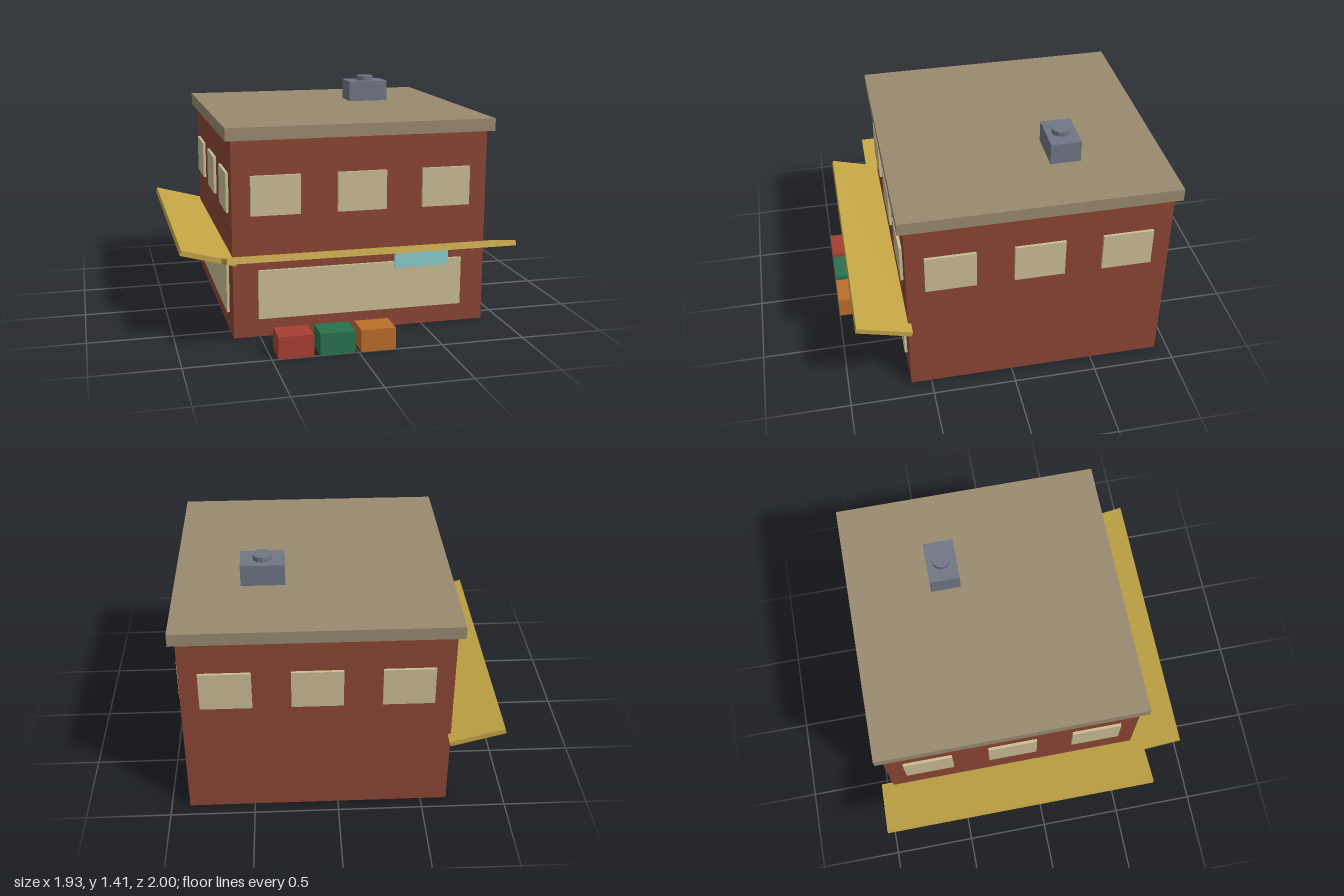
import * as THREE from 'three';

const mat = (name, color) => {
  const m = new THREE.MeshStandardMaterial({ color });
  m.name = name;
  return m;
};

export function createModel() {
  const brick = mat('brick red', 0x8b4533);
  const stone = mat('roof taupe', 0x998a6f);
  const glass = mat('window cream', 0xcabd94);
  const canvas = mat('awning yellow', 0xc4a545);
  const metal = mat('vent grey', 0x6f7685);
  const signBlue = mat('sign cyan', 0x8ccccc);
  const red = mat('crate red', 0xa83e33);
  const green = mat('crate green', 0x2a714c);
  const orange = mat('crate orange', 0xba6e2a);

  const model = new THREE.Group();
  model.name = 'cornerShop';

  const box = (parent, name, material, size, pos) => {
    const mesh = new THREE.Mesh(new THREE.BoxGeometry(...size), material);
    mesh.name = name;
    mesh.position.set(...pos);
    parent.add(mesh);
    return mesh;
  };

  // Building, centred on its own axis so the four walls can be turned into place
  const half = 0.773;
  const building = new THREE.Group();
  building.name = 'building';
  building.position.set(0.117, 0, -0.15);
  model.add(building);
  box(building, 'walls', brick, [half * 2, 1.18, half * 2], [0, 0.59, 0]);
  box(building, 'roofSlab', stone, [1.618, 0.075, 1.618], [0, 1.2175, 0]);

  // Each wall has three upper windows; street walls add a shop window and awning
  const sides = [['front', 0, true], ['left', 1, false], ['back', 2, false], ['right', 3, true]];
  for (const [name, turn, street] of sides) {
    const wall = new THREE.Group();
    wall.name = name + 'Wall';
    wall.rotation.y = turn * Math.PI / 2;
    building.add(wall);
    for (const x of [-0.517, 0, 0.517]) {
      box(wall, 'upperWindow', glass, [0.296, 0.235, 0.03], [x, 0.853, half + 0.002]);
    }
    if (street) {
      box(wall, 'shopWindow', glass, [1.25, 0.295, 0.03], [0, 0.26, half + 0.001]);
      const awning = box(wall, 'awning', canvas, [1.695, 0.031, 0.33], [0, 0.519, 0.918]);
      awning.rotation.x = -Math.PI / 12;
    }
  }

  // Hanging sign over the shop window
  box(model, 'sign', signBlue, [0.335, 0.1, 0.02], [0.488, 0.42, 0.637]);

  // Roof vent with a round cap
  box(model, 'ventBox', metal, [0.257, 0.13, 0.181], [0.412, 1.32, -0.375]);
  const capGeometry = new THREE.CylinderGeometry(0.056, 0.056, 0.03, 12).toNonIndexed();
  capGeometry.computeVertexNormals();
  const cap = new THREE.Mesh(capGeometry, metal);
  cap.name = 'ventCap';
  cap.position.set(0.412, 1.4, -0.375);
  model.add(cap);

  // Row of crates on the pavement
  [red, green, orange].forEach((material, i) => {
    box(model, 'crate', material, [0.203, 0.13, 0.162], [-0.361 + i * 0.239, 0.065, 0.919]);
  });

  return model;
}
